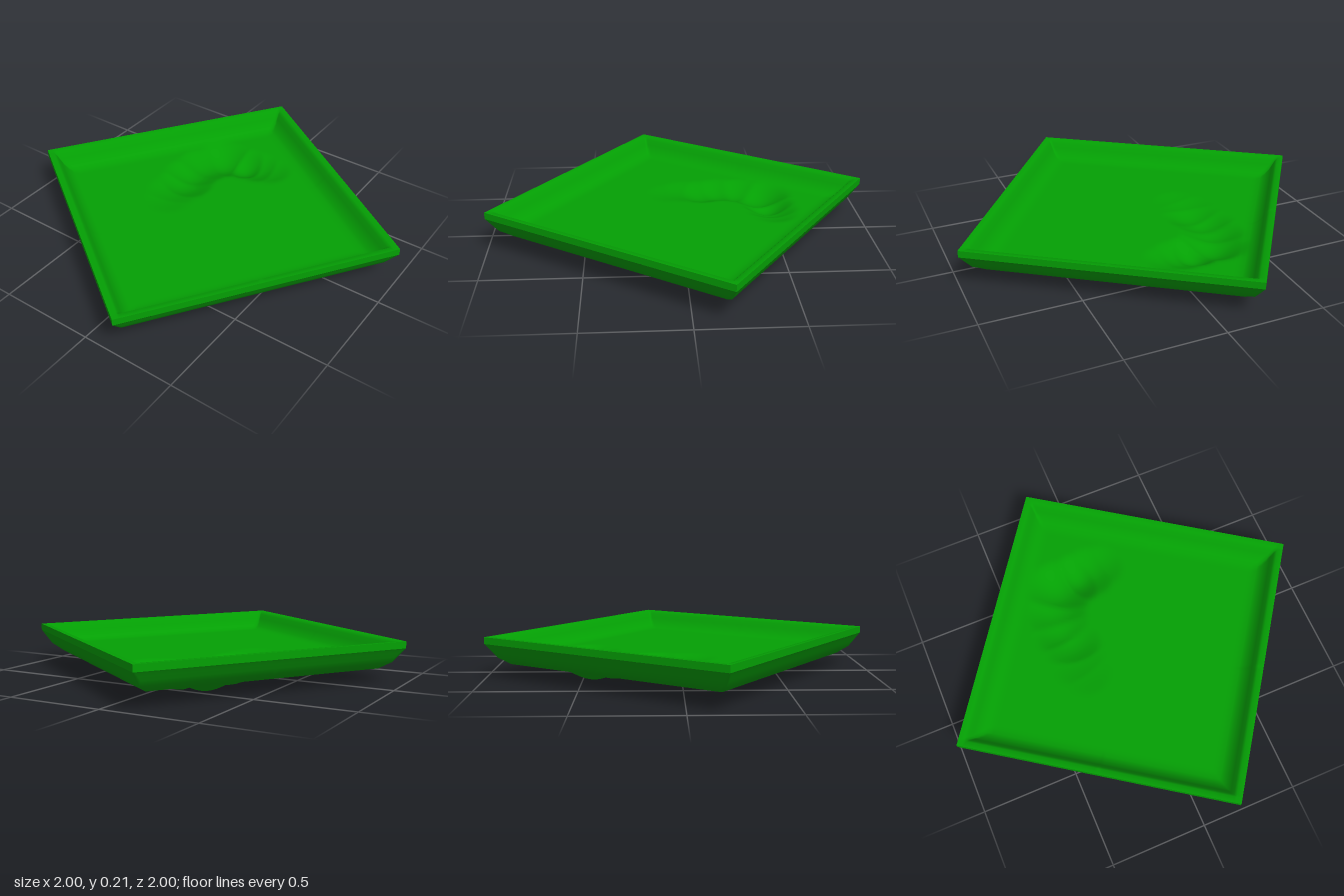
import * as THREE from 'three';

const HALF = 0.718, COS = 0.8214, SIN = 0.5704; // half side and turn of the square

// Rim profiles: [fraction of half side, height], from the floor outwards
const INNER = [[0.8, 0.12], [0.84, 0.123], [0.87, 0.134], [0.9, 0.154], [0.92, 0.175], [0.94, 0.199], [0.96, 0.214], [1, 0.215]];
const OUTER = [[0.83, 0.071], [0.87, 0.072], [0.905, 0.092], [0.935, 0.107], [0.96, 0.135], [0.98, 0.158], [0.992, 0.172], [1, 0.18]];

// Dents in the floor: x, z, radius, depth
const DENTS = [
  [-0.09, -0.47, 0.15, 0.07], [-0.21, -0.44, 0.18, 0.068], [-0.27, -0.33, 0.17, 0.052],
  [-0.28, -0.22, 0.16, 0.05], [-0.26, -0.13, 0.16, 0.044], [-0.02, -0.48, 0.15, 0.042],
  [0.05, -0.49, 0.13, 0.022], [-0.27, -0.03, 0.15, 0.02], [-0.25, 0.05, 0.13, 0.01],
];

function dent(x, z) {
  let deepest = 0;
  for (const [cx, cz, r, depth] of DENTS) {
    const d = ((x - cx) ** 2 + (z - cz) ** 2) / (r * r);
    if (d < 1) deepest = Math.max(deepest, depth * (1 - d) ** 1.6);
  }
  return deepest;
}

function heightAt(profile, m) {
  if (m <= profile[0][0]) return profile[0][1];
  for (let i = 1; i < profile.length; i++) {
    const [m0, y0] = profile[i - 1], [m1, y1] = profile[i];
    if (m <= m1) return y0 + (y1 - y0) * (m - m0) / (m1 - m0);
  }
  return profile[profile.length - 1][1];
}

// Square sheet with a raised rim; grid lines follow the rim profile
function sheet(profile, facesUp) {
  const rim = profile.map((p) => p[0]);
  const lines = rim.map((m) => -m).reverse();
  const steps = 64;
  for (let i = 1; i < steps; i++) lines.push(rim[0] * (2 * i / steps - 1));
  lines.push(...rim);
  const n = lines.length, pos = [], index = [];
  for (const v of lines) {
    for (const u of lines) {
      const x = HALF * (u * COS - v * SIN), z = HALF * (u * SIN + v * COS);
      pos.push(x, heightAt(profile, Math.max(Math.abs(u), Math.abs(v))) - dent(x, z), z);
    }
  }
  const tri = (a, b, c) => (facesUp ? index.push(a, b, c) : index.push(a, c, b));
  for (let j = 0; j < n - 1; j++) {
    for (let i = 0; i < n - 1; i++) {
      const a = j * n + i, b = a + 1, c = a + n, d = c + 1;
      // diagonals run along the mitred corners
      if ((lines[i] + lines[i + 1]) * (lines[j] + lines[j + 1]) > 0) {
        tri(a, c, d); tri(a, d, b);
      } else {
        tri(a, c, b); tri(b, c, d);
      }
    }
  }
  const geo = new THREE.BufferGeometry();
  geo.setAttribute('position', new THREE.Float32BufferAttribute(pos, 3));
  geo.setIndex(index);
  geo.computeVertexNormals();
  return geo;
}

export function createModel() {
  const group = new THREE.Group();
  group.name = 'squareTray';
  const green = new THREE.MeshStandardMaterial({ color: 0x04a004 });
  green.name = 'green';
  const add = (name, geo) => {
    const mesh = new THREE.Mesh(geo, green);
    mesh.name = name;
    group.add(mesh);
    return mesh;
  };

  add('upperSurface', sheet(INNER, true));
  add('underside', sheet(OUTER, false));

  // Upright band around the rim
  const band = new THREE.CylinderGeometry(HALF * Math.SQRT2, HALF * Math.SQRT2, 0.035, 4, 1, true,
    Math.PI / 4 - Math.atan2(SIN, COS)).toNonIndexed();
  band.computeVertexNormals();
  add('rimBand', band).position.y = 0.1975;

  return group;
}
